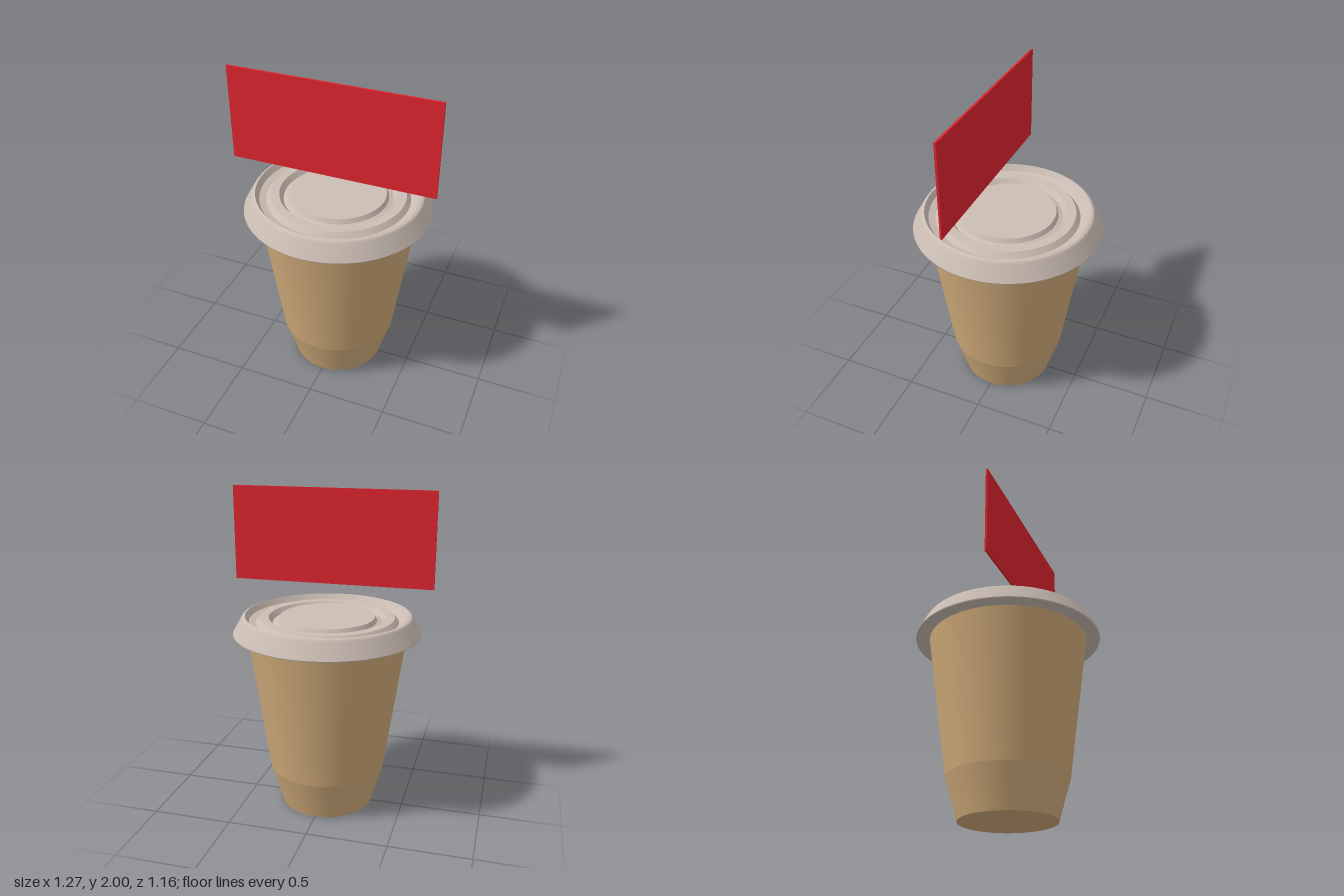
import * as THREE from 'three';
import { toCreasedNormals } from 'three/addons/utils/BufferGeometryUtils.js';

const cardboard = new THREE.MeshStandardMaterial({ name: 'cardboard brown', color: 0xcfaa79 });
const plastic = new THREE.MeshStandardMaterial({ name: 'lid grey', color: 0xcbbdb3 });
const red = new THREE.MeshStandardMaterial({ name: 'sign red', color: 0xde242f });

// Turn a [radius, height] profile around y, keeping its bends crisp
function turned(name, profile, material) {
  const points = profile.map(([r, y]) => new THREE.Vector2(r, y));
  const geometry = toCreasedNormals(new THREE.LatheGeometry(points, 96), 0.1);
  const mesh = new THREE.Mesh(geometry, material);
  mesh.name = name;
  return mesh;
}

export function createModel() {
  const group = new THREE.Group();
  group.name = 'takeawayCup';

  // Cup: closed base, tucked-in foot, tapered wall
  group.add(turned('cup', [
    [0, 0], [0.293, 0], [0.314, 0.075], [0.367, 0.255], [0.494, 1.145],
  ], cardboard));

  // Lid: flat underside, flared skirt, then two ring grooves and a raised centre disc
  group.add(turned('lid', [
    [0, 1.137], [0.578, 1.137], [0.58, 1.143], [0.572, 1.158],
    [0.526, 1.24], [0.519, 1.249], [0.505, 1.254],
    [0.482, 1.218], [0.44, 1.207], [0.414, 1.238],
    [0.36, 1.238], [0.335, 1.205], [0.307, 1.213], [0.293, 1.24], [0, 1.24],
  ], plastic));

  // Thin floating sign above the lid
  const sign = new THREE.Mesh(new THREE.BoxGeometry(1.268, 0.585, 0.013), red);
  sign.name = 'sign';
  sign.position.set(0, 1.7075, 0.115);
  group.add(sign);

  return group;
}
